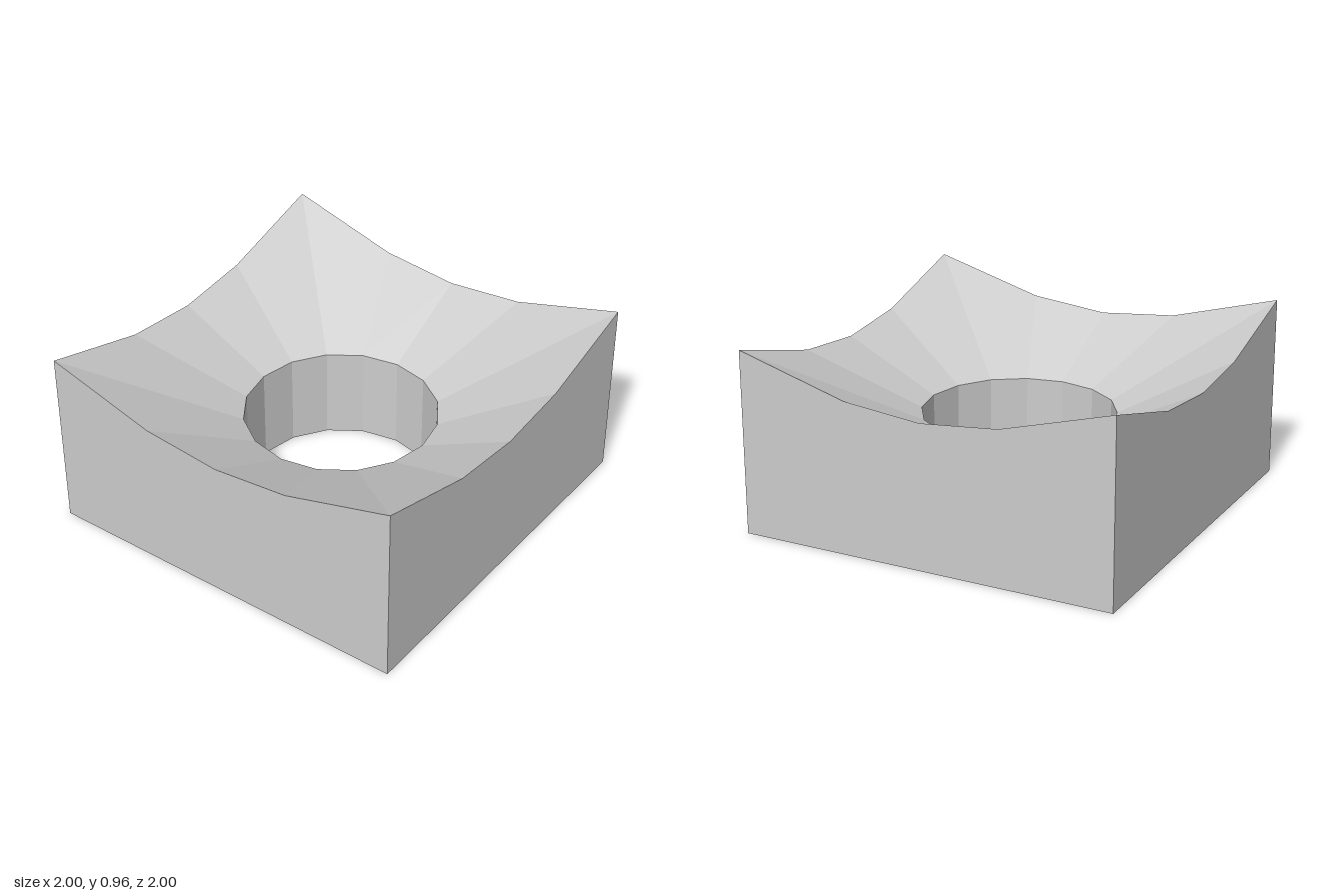
import * as THREE from 'three';

const SIDES = 16;
const HOLE_RADIUS = 0.5;

// Cross-section at one of the 16 angles: hole bottom, hole rim, square top edge, square base
function section(i) {
  const a = (i / SIDES) * Math.PI * 2;
  const c = Math.cos(a), s = Math.sin(a);
  const r = 1 / Math.max(Math.abs(c), Math.abs(s)); // reach of the square outline
  const point = (radius, y) => [c * radius, y, s * radius];
  return [
    point(HOLE_RADIUS, 0),
    point(HOLE_RADIUS, 0.25 + 0.5 * HOLE_RADIUS),
    point(r, 0.25 + 0.5 * r), // dish rises at a constant slope
    point(r, 0),
  ];
}

// Faceted band joining profile points k and k + 1 all the way round
function band(k, name, material) {
  const positions = [];
  for (let i = 0; i < SIDES; i++) {
    const p = section(i), q = section(i + 1);
    const next = (k + 1) % 4;
    positions.push(...p[k], ...p[next], ...q[next], ...p[k], ...q[next], ...q[k]);
  }
  // Reverse each triangle so the faces point outwards
  for (let t = 0; t < positions.length; t += 9) {
    for (let j = 0; j < 3; j++) {
      const swap = positions[t + 3 + j];
      positions[t + 3 + j] = positions[t + 6 + j];
      positions[t + 6 + j] = swap;
    }
  }
  const geometry = new THREE.BufferGeometry();
  geometry.setAttribute('position', new THREE.Float32BufferAttribute(positions, 3));
  geometry.computeVertexNormals();
  const mesh = new THREE.Mesh(geometry, material);
  mesh.name = name;
  return mesh;
}

export function createModel() {
  const group = new THREE.Group();
  group.name = 'dishedBlock';
  const grey = new THREE.MeshStandardMaterial({ name: 'light grey', color: 0xcccccc });

  ['holeWall', 'conicalDish', 'outerWalls', 'underside'].forEach((name, k) => {
    group.add(band(k, name, grey));
  });
  return group;
}
